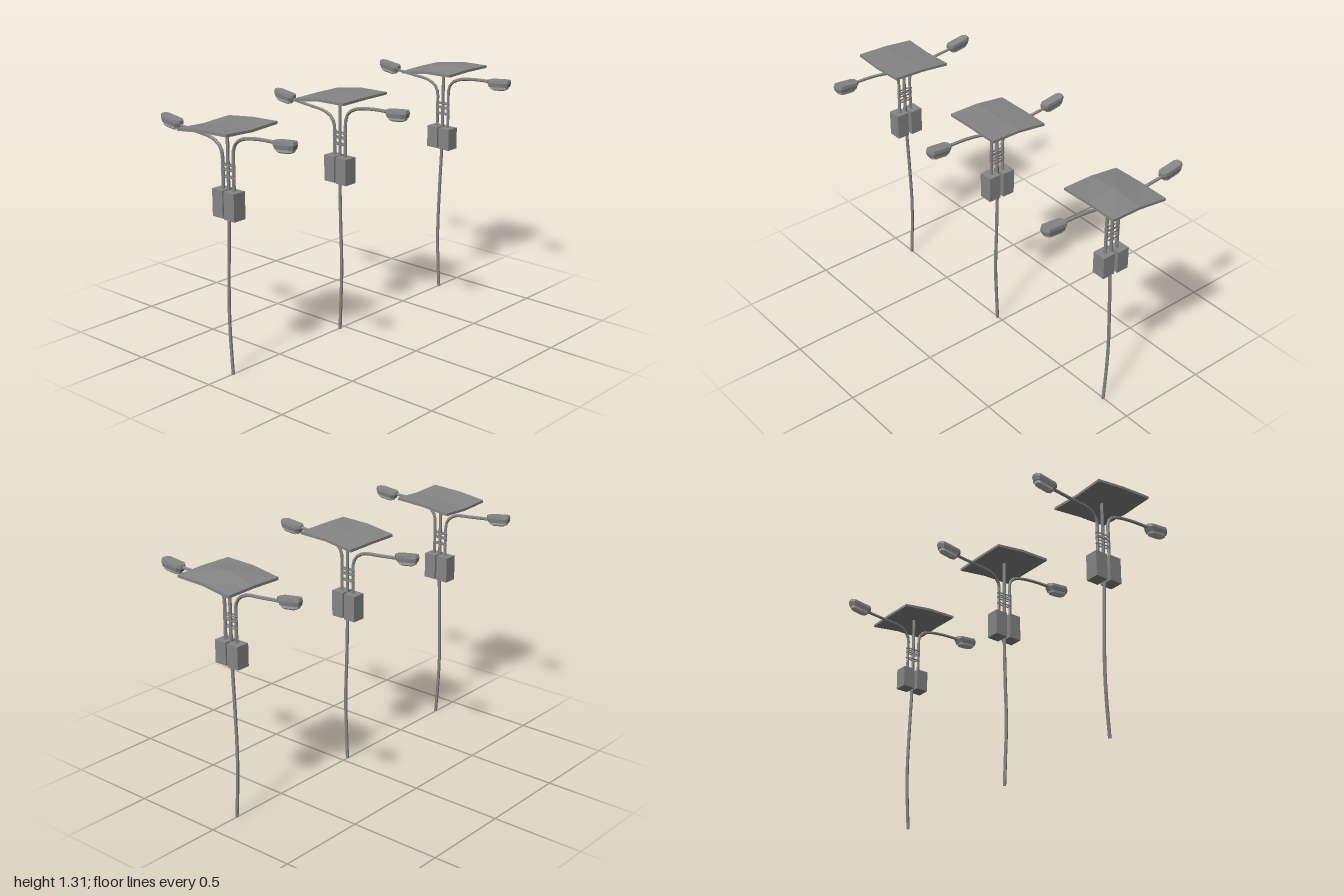
import * as THREE from 'three';

function material(name, color) {
  const m = new THREE.MeshStandardMaterial({ color, flatShading: true, side: THREE.DoubleSide });
  m.name = name;
  return m;
}
const grey = material('weatheredGrey', 0x868686);
const lensGrey = material('paleLensGrey', 0xb4b4b4);

function mesh(name, geometry, mat = grey) {
  const m = new THREE.Mesh(geometry, mat);
  m.name = name;
  return m;
}

// Six-sided bent tube through a few points
function rod(name, points, radius, segments) {
  const curve = new THREE.CatmullRomCurve3(points.map((p) => new THREE.Vector3(...p)));
  return mesh(name, new THREE.TubeGeometry(curve, segments, radius, 6));
}

// Stack of chamfered rectangles: each layer is [y, half length, half width]
function loft(layers) {
  const outline = [[1, 0.5], [0.75, 1], [-0.75, 1], [-1, 0.5], [-1, -0.5], [-0.75, -1], [0.75, -1], [1, -0.5]];
  const n = outline.length;
  const pos = [];
  const index = [];
  layers.forEach(([y, l, w]) => outline.forEach(([x, z]) => pos.push(x * l, y, z * w)));
  for (let k = 0; k < layers.length - 1; k++) {
    for (let i = 0; i < n; i++) {
      const a = k * n + i, b = k * n + (i + 1) % n;
      index.push(a, a + n, b, b, a + n, b + n);
    }
  }
  const last = (layers.length - 1) * n;
  for (let i = 1; i < n - 1; i++) {
    index.push(0, i, i + 1, last, last + i + 1, last + i);
  }
  const g = new THREE.BufferGeometry();
  g.setAttribute('position', new THREE.Float32BufferAttribute(pos, 3));
  g.setIndex(index);
  const flat = g.toNonIndexed();
  flat.computeVertexNormals();
  return flat;
}

// Lamp head: housing with a smaller pale lens underneath
function lampHead(name, x, y, z, tilt, halfWidth) {
  const head = new THREE.Group();
  head.name = name;
  head.add(
    mesh('housing', loft([[-0.017, 0.06, halfWidth * 0.88], [0.004, 0.068, halfWidth], [0.02, 0.066, halfWidth * 0.93]])),
    mesh('lens', loft([[-0.037, 0.035, halfWidth * 0.45], [-0.03, 0.05, halfWidth * 0.7], [-0.0165, 0.055, halfWidth * 0.8]]), lensGrey),
  );
  head.position.set(x, y, z);
  head.rotation.z = tilt;
  return head;
}

// Tilted roof panel, slightly warped along its middle lines
function roofPanel({ ridge, centre, sag }) {
  const g = new THREE.BoxGeometry(0.333, 0.014, 0.336, 2, 1, 2);
  const p = g.attributes.position;
  for (let i = 0; i < p.count; i++) {
    const x = p.getX(i), midX = Math.abs(x) < 0.01, midZ = Math.abs(p.getZ(i)) < 0.01;
    const bump = midX ? (midZ ? centre : ridge) : (midZ ? sag : 0);
    p.setY(i, p.getY(i) + x * 0.08 + bump);
  }
  g.computeVertexNormals();
  return mesh('roofPanel', g);
}

// Arm paths as [distance from the arm's foot, drop below the head, share of the z offset]
const leftBend = [[0.001, 0.085, 0.3], [0.018, 0.048, 0.5], [0.06, 0.022, 1], [0.16, 0.004, 1], [0.3, -0.002, 1]];
const rightBend = [[0.001, 0.095, 0.3], [0.02, 0.062, 0.5], [0.06, 0.038, 1], [0.16, 0.026, 1], [0.3, 0.012, 1]];

function streetLamp(o) {
  const lamp = new THREE.Group();
  lamp.name = 'streetLamp';

  // Bowed pole
  lamp.add(rod('pole', [[0.003, 0, 0], [o.bow * 0.65, 0.18, 0], [o.bow, 0.35, 0], [o.bow * 0.5, 0.6, 0],
    [0.003, 0.85, 0], [0.004, 1.07, 0], [0.004, 1.285, 0]], 0.0088, 14));

  const panel = roofPanel(o.panel);
  panel.position.set(0.004, 1.28, o.panelZ);
  lamp.add(panel);

  for (const side of [-1, 1]) {
    const label = side > 0 ? 'left' : 'right';

    // Control box beside the pole
    const box = mesh(label + 'Box', new THREE.BoxGeometry(0.07, o.boxHeight, 0.075));
    box.position.set(0.002 + side * 0.0425, 0.895, side * 0.003);
    lamp.add(box);

    // Curved arm and its lamp head
    const y = side > 0 ? o.leftY : o.rightY;
    const z = side > 0 ? o.leftZ : o.rightZ;
    const x0 = 0.004 + side * 0.037;
    const bend = (side > 0 ? leftBend : rightBend).map(([out, drop, share]) => [x0 + side * out, y - drop, z * share]);
    lamp.add(rod(label + 'Arm', [[x0, 0.95, 0], [x0, 1.1, 0], ...bend], 0.0088, 18));
    lamp.add(lampHead(label + 'Head', side * 0.378 + 0.002, y, z, side * (side > 0 ? 0.1 : 0.14), side > 0 ? 0.031 : 0.027));
  }

  // Flat bands tying the arms to the pole
  for (const y of [1.03, 1.065, 1.09]) {
    const g = new THREE.TorusGeometry(1, 0.09, 4, 12);
    g.rotateX(Math.PI / 2);
    g.scale(0.046, 0.05, 0.012);
    const band = mesh('band', g);
    band.position.set(0.003, y, 0);
    lamp.add(band);
  }
  return lamp;
}

export function createModel() {
  const model = new THREE.Group();
  model.name = 'streetLamps';
  const lamps = [
    { z: 0.835, bow: -0.014, boxHeight: 0.14, leftY: 1.254, rightY: 1.245, leftZ: -0.005, rightZ: 0.008, panelZ: -0.003,
      panel: { ridge: 0.006, centre: 0.001, sag: -0.008 } },
    { z: 0.036, bow: 0.016, boxHeight: 0.14, leftY: 1.25, rightY: 1.23, leftZ: -0.009, rightZ: 0.011, panelZ: -0.006,
      panel: { ridge: 0.01, centre: 0.012, sag: 0.002 } },
    { z: -0.826, bow: -0.014, boxHeight: 0.12, leftY: 1.258, rightY: 1.248, leftZ: -0.004, rightZ: 0.008, panelZ: -0.006,
      panel: { ridge: 0.01, centre: 0.027, sag: 0.004 } },
  ];
  for (const o of lamps) {
    const lamp = streetLamp(o);
    lamp.position.z = o.z;
    model.add(lamp);
  }
  return model;
}
